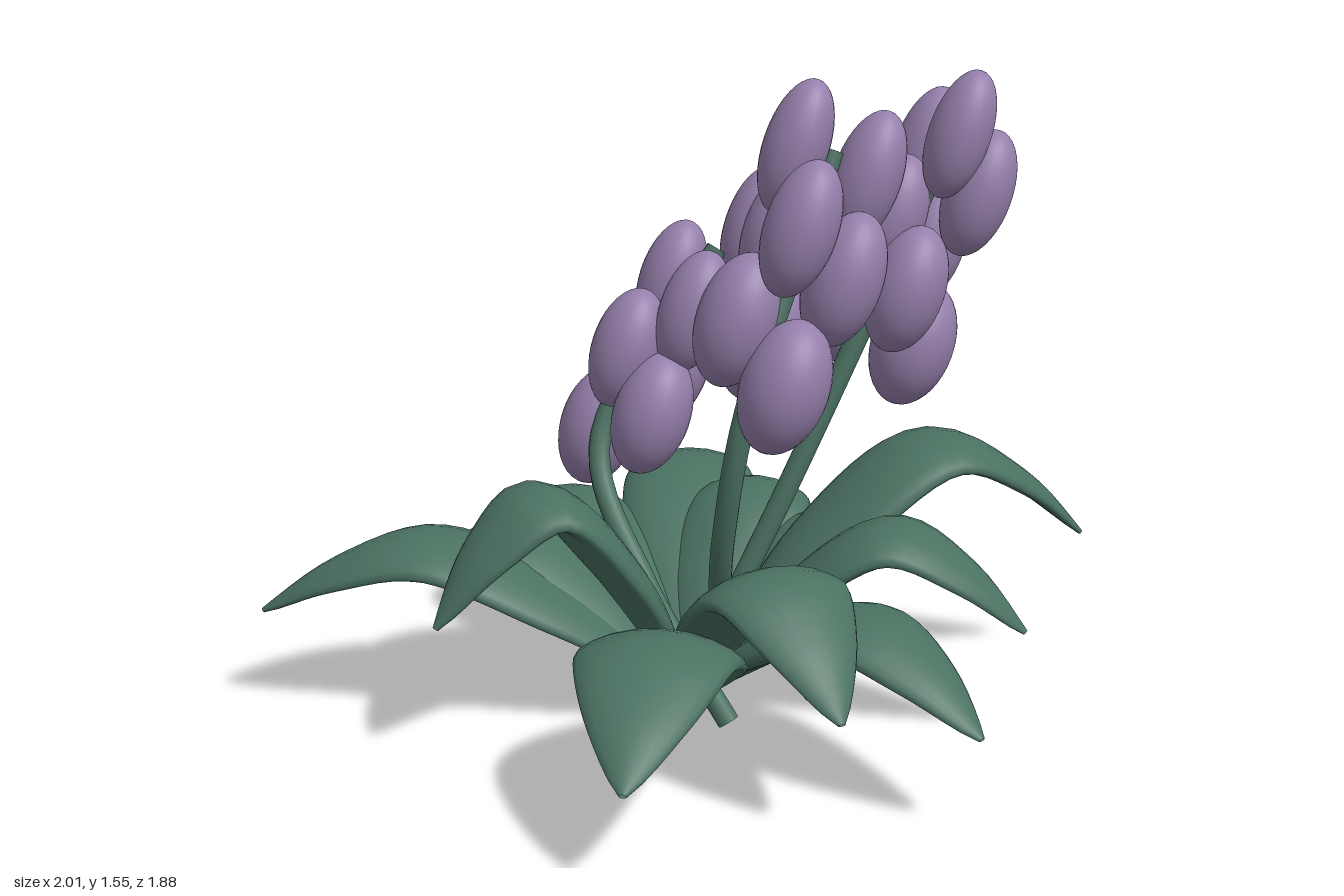
import * as THREE from 'three';

const leafGreen = new THREE.MeshStandardMaterial({ color: 0x4a7161, side: THREE.DoubleSide });
leafGreen.name = 'leafGreen';
const petalPurple = new THREE.MeshStandardMaterial({ color: 0x957fab });
petalPurple.name = 'petalPurple';

const V = (x, y, z) => new THREE.Vector3(x, y, z);

// Fleshy arching leaf: oval cross-sections swept from the crown to the tip
function makeLeaf(tipX, tipZ, peak, halfWidth) {
  const base = V(0.01, 0.045, 0.04);
  const tip = V(tipX, peak * 0.54 - 0.005, tipZ);
  const at = (f, y) => base.clone().lerp(tip, f).setY(y);
  const path = new THREE.CatmullRomCurve3([
    base, at(0.3, peak * 0.67 - 0.03), at(0.6, peak - 0.045), at(0.82, peak * 0.81 - 0.02), tip,
  ]);
  const rows = 28, sides = 20, pos = [], idx = [];
  const side = V(base.z - tipZ, 0, tipX - base.x).normalize();
  for (let i = 0; i <= rows; i++) {
    const t = i / rows;
    const p = path.getPointAt(t);
    const up = side.clone().cross(path.getTangentAt(t));
    const shape = Math.pow(Math.max(Math.sin(Math.PI * Math.pow(t, 1.03)), 0), 0.85);
    const w = halfWidth * shape + 0.008;
    for (let j = 0; j < sides; j++) {
      const a = (j / sides) * Math.PI * 2;
      const c = Math.cos(a);
      const lift = Math.sin(a) * (0.006 + 0.036 * shape) - 0.14 * w * c * c;
      const q = p.clone().addScaledVector(side, c * w).addScaledVector(up, lift);
      pos.push(q.x, q.y, q.z);
      if (i < rows) {
        const k = i * sides + j, n = i * sides + (j + 1) % sides;
        idx.push(k, k + sides, n, n, k + sides, n + sides);
      }
    }
  }
  const g = new THREE.BufferGeometry();
  g.setAttribute('position', new THREE.Float32BufferAttribute(pos, 3));
  g.setIndex(idx);
  g.computeVertexNormals();
  const leaf = new THREE.Mesh(g, leafGreen);
  leaf.name = 'leaf';
  return leaf;
}

// Flower spike: curved stem with leaning oval petals, slimmer towards the top
const petalGeometry = new THREE.SphereGeometry(1, 28, 20);
function makeSpike(stemPoints, petalCentres) {
  const spike = new THREE.Group();
  spike.name = 'flowerSpike';
  const curve = new THREE.CatmullRomCurve3(stemPoints);
  const stem = new THREE.Mesh(new THREE.TubeGeometry(curve, 32, 0.026, 12), leafGreen);
  stem.name = 'stem';
  // Flat cut at the foot of the stem
  const foot = new THREE.Mesh(new THREE.CircleGeometry(0.026, 12), leafGreen);
  foot.name = 'stemFoot';
  foot.position.copy(stemPoints[0]);
  foot.quaternion.setFromUnitVectors(V(0, 0, 1), curve.getTangentAt(0).negate());
  spike.add(stem, foot);

  const heights = petalCentres.map((c) => c.y);
  const low = Math.min(...heights), high = Math.max(...heights);
  const lean = V(0.33, 1, 0).normalize();
  for (const centre of petalCentres) {
    const petal = new THREE.Mesh(petalGeometry, petalPurple);
    petal.name = 'petal';
    const radius = THREE.MathUtils.mapLinear(centre.y, low, high, 0.106, 0.078);
    petal.position.copy(centre);
    petal.scale.set(radius * 0.9, 0.15, radius);
    petal.quaternion.setFromUnitVectors(V(0, 1, 0), lean);
    spike.add(petal);
  }
  return spike;
}

export function createModel() {
  const model = new THREE.Group();
  model.name = 'floweringPlant';

  // Leaf rosette: tip x, tip z, peak height, half width
  const rosette = new THREE.Group();
  rosette.name = 'leafRosette';
  rosette.add(
    makeLeaf(-1, -0.15, 0.45, 0.16),
    makeLeaf(1, -0.15, 0.65, 0.15),
    makeLeaf(-0.65, -0.34, 0.43, 0.16),
    makeLeaf(-0.6, 0.29, 0.64, 0.15),
    makeLeaf(-0.25, 0.93, 0.42, 0.175),
    makeLeaf(0.22, 0.77, 0.52, 0.165),
    makeLeaf(0.52, 0.76, 0.42, 0.14),
    makeLeaf(0.73, 0.33, 0.53, 0.14),
    makeLeaf(0.59, -0.3, 0.42, 0.13),
    makeLeaf(0.34, -0.6, 0.46, 0.15),
    makeLeaf(0.12, -0.94, 0.47, 0.165),
    makeLeaf(-0.39, -0.76, 0.42, 0.13),
  );
  model.add(rosette);

  // Low spike at the back
  model.add(makeSpike(
    [V(0.08, 0.01, 0.13), V(-0.1, 0.32, 0), V(-0.19, 0.62, -0.17), V(0.1, 1.07, -0.23)],
    [
      V(-0.18, 0.63, -0.28), V(-0.07, 0.7, -0.12), V(-0.12, 0.84, -0.2), V(0, 0.77, -0.29),
      V(0, 0.98, -0.31), V(0.03, 0.94, -0.14), V(0.19, 1.12, -0.24),
    ],
  ));

  // Spike leaning to the left
  model.add(makeSpike(
    [V(-0.04, 0.01, 0.06), V(0.2, 0.5, 0.05), V(0.58, 1.32, 0)],
    [
      V(0.605, 1.38, 0.07), V(0.57, 1.32, -0.1), V(0.66, 1.24, 0.04), V(0.47, 1.18, -0.01),
      V(0.58, 1.1, -0.09), V(0.49, 1.03, 0.08), V(0.53, 0.88, -0.01), V(0.38, 0.96, -0.12),
    ],
  ));

  // Tall spike at the front
  model.add(makeSpike(
    [V(0.01, 0.01, 0), V(0.04, 0.26, 0.2), V(0.03, 0.55, 0.37), V(0.07, 0.85, 0.42), V(0.27, 1.39, 0.31)],
    [
      V(0.19, 1.4, 0.31), V(0.345, 1.33, 0.31), V(0.18, 1.25, 0.44), V(0.17, 1.2, 0.24),
      V(0.28, 1.13, 0.4), V(0.06, 1.04, 0.36), V(0.15, 0.91, 0.44), V(0.13, 0.98, 0.26),
    ],
  ));
  return model;
}
